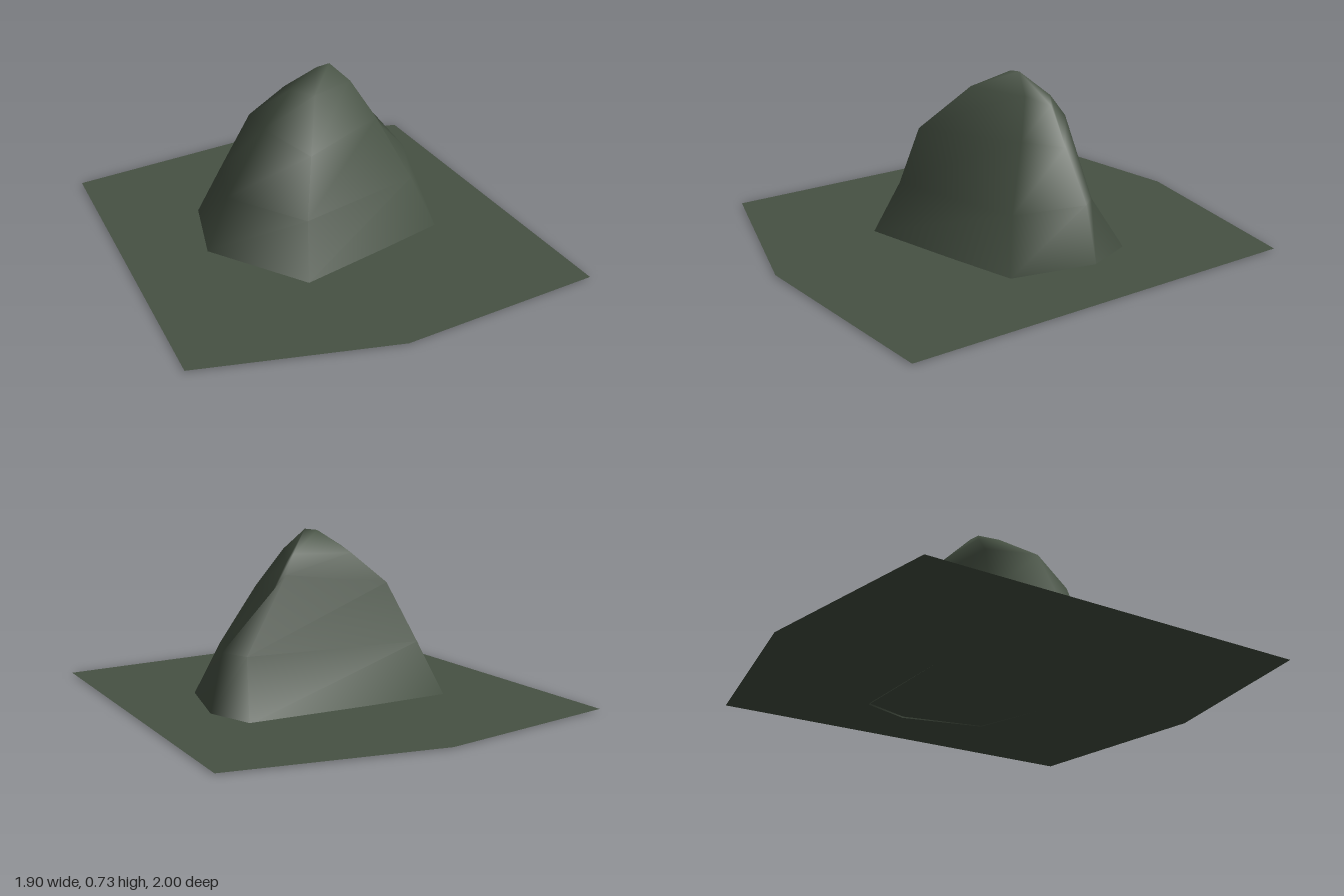
import * as THREE from 'three';
import { mergeVertices } from 'three/addons/utils/BufferGeometryUtils.js';

// Skin a stack of equal-length rings into one smooth surface.
function loft(rings) {
  const n = rings[0].length;
  const index = [];
  for (let r = 0; r < rings.length - 1; r++) {
    for (let i = 0; i < n; i++) {
      const j = (i + 1) % n;
      const a = r * n + i, b = r * n + j, c = b + n, d = a + n;
      index.push(b, a, d, b, d, c);
    }
  }
  const geometry = new THREE.BufferGeometry();
  geometry.setAttribute('position', new THREE.Float32BufferAttribute(rings.flat(2), 3));
  geometry.setIndex(index);
  const welded = mergeVertices(geometry);
  welded.computeVertexNormals();
  return welded;
}

export function createModel() {
  const group = new THREE.Group();
  const moss = new THREE.MeshStandardMaterial({ color: 0x465143, side: THREE.DoubleSide });
  moss.name = 'dark moss green';

  // Flat six-sided ground sheet, listed as x, z
  const outline = [[-0.95, -0.74], [-0.12, -1], [0.77, -0.97], [0.95, 0.78], [0.06, 1], [-0.77, 0.92]];
  const sheet = new THREE.ShapeGeometry(
    new THREE.Shape(outline.map(([x, z]) => new THREE.Vector2(x, -z)))
  ).rotateX(-Math.PI / 2).translate(0, 0.006, 0);
  const ground = new THREE.Mesh(sheet, moss);
  ground.name = 'ground';
  group.add(ground);

  // Rock: rings from the foot to the crest; corners run
  // back left, back right, right, front right, front, left
  const crestA = [0.04, 0.725, -0.08], crestB = [0.1, 0.733, -0.09];
  const rock = new THREE.Mesh(loft([
    [[-0.47, 0.01, -0.28], [0.46, 0, -0.41], [0.56, 0, -0.21], [0.52, 0.003, 0.17], [-0.17, 0.01, 0.485], [-0.51, 0.012, 0.11]],
    [[-0.37, 0.24, -0.22], [0.42, 0.24, -0.265], [0.5, 0.25, -0.19], [0.42, 0.23, 0.11], [-0.14, 0.23, 0.37], [-0.41, 0.24, 0.08]],
    [[-0.24, 0.5, -0.18], [0.24, 0.56, -0.235], [0.31, 0.44, -0.2], [0.29, 0.49, 0], [-0.1, 0.48, 0.29], [-0.24, 0.53, 0.07]],
    [[-0.09, 0.63, -0.14], [0.19, 0.64, -0.19], [0.22, 0.6, -0.18], [0.19, 0.65, -0.07], [-0.02, 0.66, 0.08], [-0.09, 0.65, -0.04]],
    [crestA, crestB, crestB, crestB, crestA, crestA],
  ]), moss);
  rock.name = 'rock';
  group.add(rock);

  return group;
}
